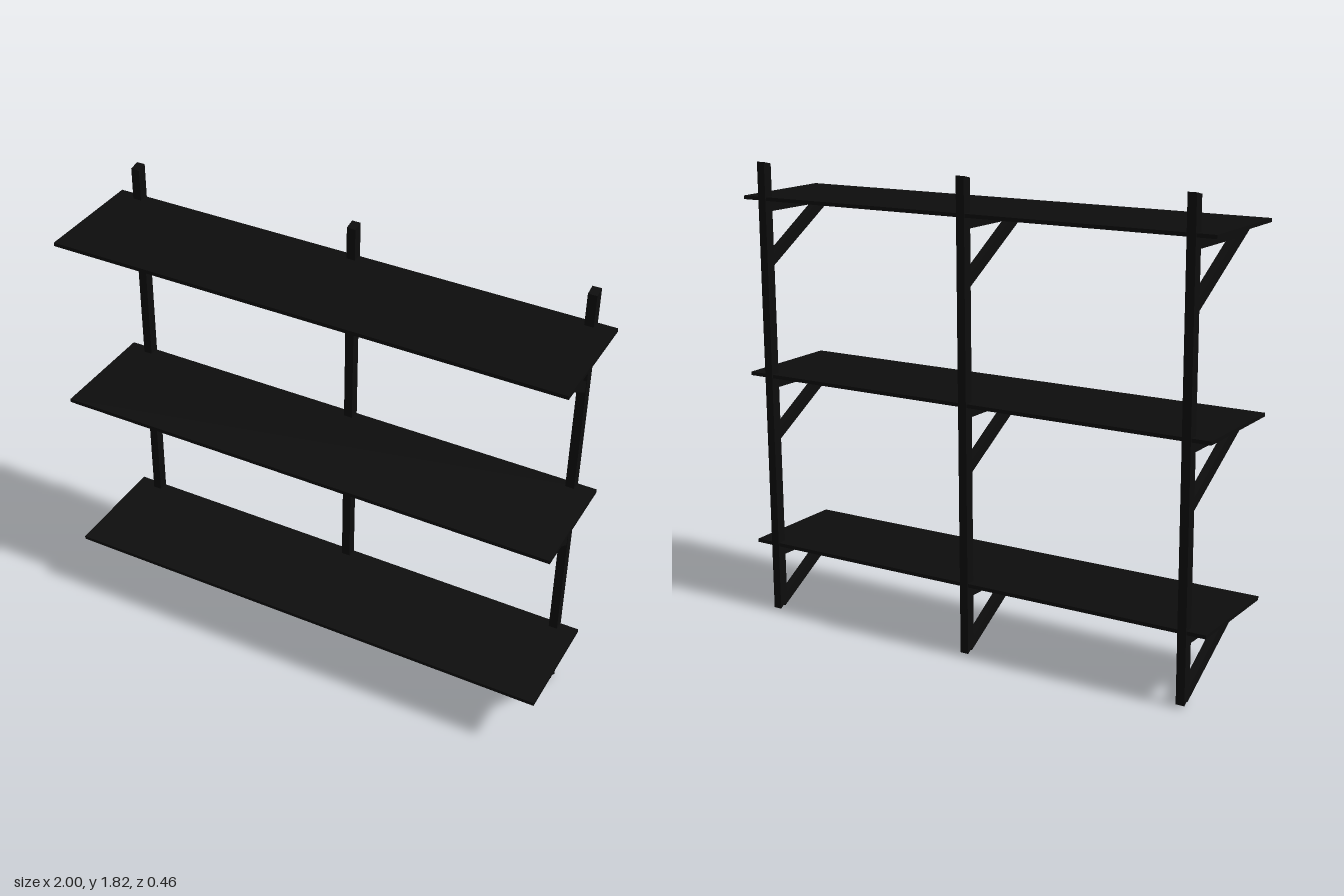
import * as THREE from 'three';

const material = new THREE.MeshStandardMaterial({ color: 0x0d0d0d, side: THREE.DoubleSide });

// Extrude a [z, y] outline sideways, centred on x = 0
function sidePanel(name, points, width, hole) {
  const shape = new THREE.Shape(points.map(([z, y]) => new THREE.Vector2(z, y)));
  if (hole) shape.holes.push(new THREE.Path(hole.map(([z, y]) => new THREE.Vector2(z, y))));
  const geometry = new THREE.ExtrudeGeometry(shape, { depth: width, bevelEnabled: false });
  geometry.translate(0, 0, -width / 2).rotateY(-Math.PI / 2);
  const mesh = new THREE.Mesh(geometry, material);
  mesh.name = name;
  return mesh;
}

export function createModel() {
  const model = new THREE.Group();
  model.name = 'wallShelf';

  const shelfHeights = [0.283, 0.978, 1.674];
  const uprights = [['rightUpright', -0.904], ['middleUpright', 0], ['leftUpright', 0.904]];

  // Boards
  shelfHeights.forEach((y, i) => {
    const shelf = new THREE.Mesh(new THREE.BoxGeometry(1.99, 0.014, 0.446), material);
    shelf.name = `shelf${i + 1}`;
    shelf.position.set(0, y, -0.003);
    model.add(shelf);
  });

  for (const [name, x] of uprights) {
    const frame = new THREE.Group();
    frame.name = name;
    frame.position.x = x;

    // Post, its foot cut to the slope of the lowest brace
    frame.add(sidePanel('post', [[-0.23, 0.01], [-0.19, 0.036], [-0.19, 1.806], [-0.23, 1.815]], 0.034));

    // Triangular brackets: arm under the board plus diagonal brace
    shelfHeights.forEach((y, i) => {
      const outline = [[-0.2, y - 0.268], [0.207, y - 0.016], [0.207, y - 0.006], [-0.2, y - 0.006]];
      const opening = [[-0.19, y - 0.215], [-0.19, y - 0.05], [0.072, y - 0.05]];
      const bracket = sidePanel(`bracket${i + 1}`, outline, 0.03, opening);
      // Slight sideways lean towards the tip
      bracket.rotation.y = -0.03;
      bracket.position.set(-0.006, 0, 0);
      frame.add(bracket);
    });
    model.add(frame);
  }

  // The unit hangs slightly out of true
  model.rotation.set(0, 0.004, -0.006);
  model.position.set(-0.007, -0.002, 0);

  const root = new THREE.Group();
  root.name = 'shelvingUnit';
  root.add(model);
  return root;
}
